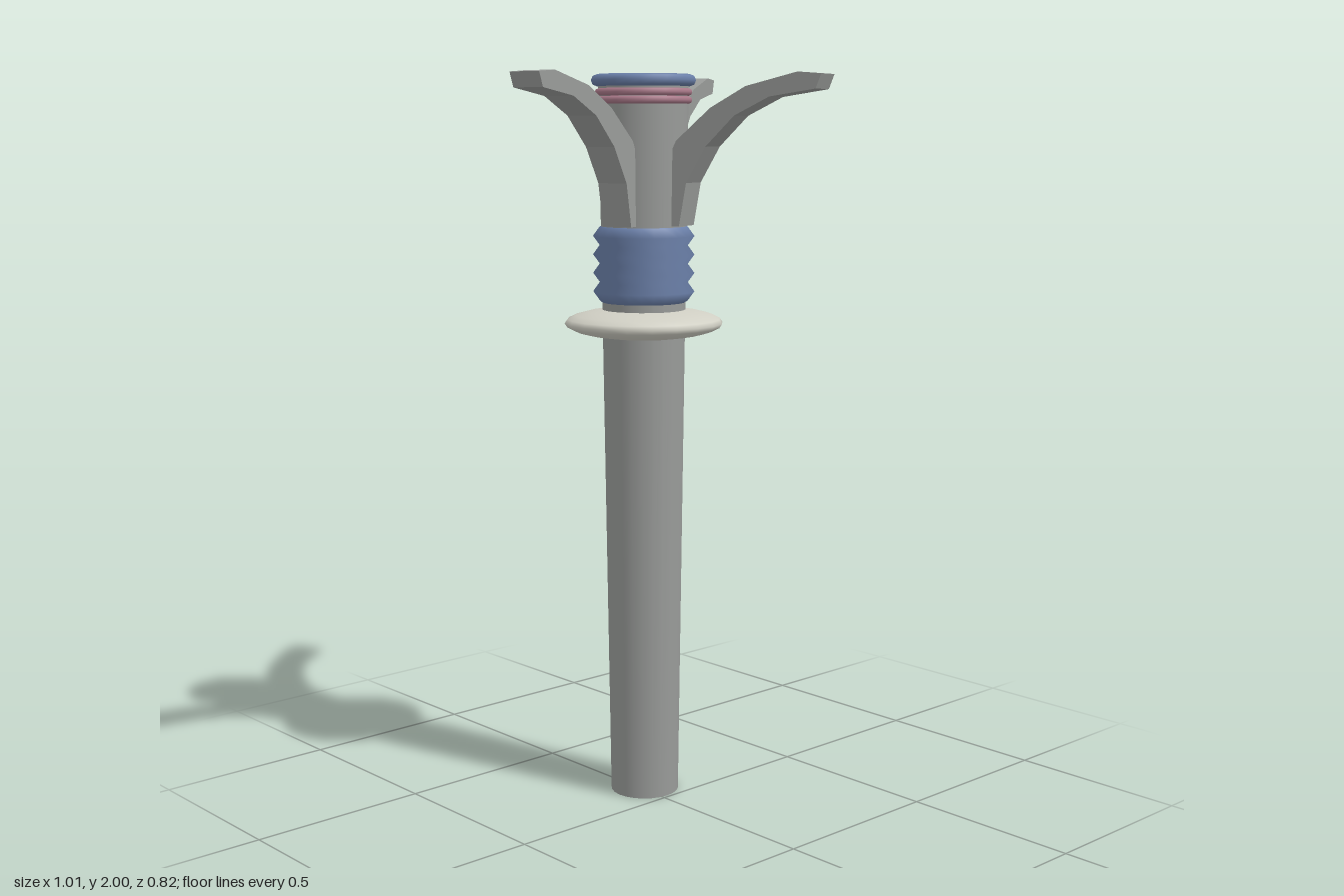
import * as THREE from 'three';

const SEG = 24;
const material = (color) => new THREE.MeshStandardMaterial({ color, side: THREE.DoubleSide });
const grey = material(0x999b99);
const beige = material(0xd0cfc4);
const blue = material(0x6a7fa8);
const pink = material(0xa87888);

export function createModel() {
  const root = new THREE.Group();
  const model = new THREE.Group();
  model.position.set(0.018, 0, -0.103); // the stem stands off centre
  root.add(model);

  const add = (name, geometry, mat, y = 0) => {
    const mesh = new THREE.Mesh(geometry, mat);
    mesh.name = name;
    mesh.position.y = y;
    model.add(mesh);
    return mesh;
  };
  const ring = (name, radius, tube, mat, y) =>
    add(name, new THREE.TorusGeometry(radius, tube, 8, SEG).rotateX(Math.PI / 2), mat, y);

  // Open, slightly tapered tube
  add('tube', new THREE.CylinderGeometry(0.1215, 0.095, 1.985, SEG, 1, true), grey, 0.9925);

  // Flattened round collar, closed across the tube
  const collar = add('collar', new THREE.SphereGeometry(0.217, 20, 12), beige, 1.334);
  collar.scale.y = 0.2;

  // Ribbed sleeve: zigzag profile
  const profile = [new THREE.Vector2(0.112, 1.39)];
  const ribs = 4, bottom = 1.395, pitch = 0.2 / ribs;
  for (let i = 0; i <= ribs; i++) {
    profile.push(new THREE.Vector2(0.12, bottom + i * pitch));
    if (i < ribs) profile.push(new THREE.Vector2(0.138, bottom + (i + 0.5) * pitch));
  }
  profile.push(new THREE.Vector2(0.112, 1.598));
  add('ribbedSleeve', new THREE.LatheGeometry(profile, SEG), blue);

  // Rim and bands at the mouth
  ring('rim', 0.125, 0.016, blue, 1.984);
  ring('upperBand', 0.121, 0.01, pink, 1.953);
  ring('lowerBand', 0.121, 0.01, pink, 1.932);

  // Curved arms: side outline (radius, height) extruded to the arm's width
  const outline = new THREE.Shape([
    [0.05, 1.6], [0.129, 1.6], [0.15, 1.715], [0.206, 1.81], [0.288, 1.89], [0.387, 1.938],
    [0.515, 1.957], [0.53, 1.995], [0.465, 2.0], [0.32, 1.965], [0.219, 1.91], [0.12, 1.825], [0.068, 1.72],
  ].map(([r, y]) => new THREE.Vector2(r, y)));
  const width = 0.09;
  const armGeometry = new THREE.ExtrudeGeometry(outline, { depth: width, bevelEnabled: false });
  armGeometry.translate(0, 0, -width / 2);
  [['backLeftArm', 30], ['rightArm', -165], ['frontArm', -69.5]].forEach(([name, degrees]) => {
    add(name, armGeometry, grey).rotation.y = THREE.MathUtils.degToRad(degrees);
  });

  return root;
}
